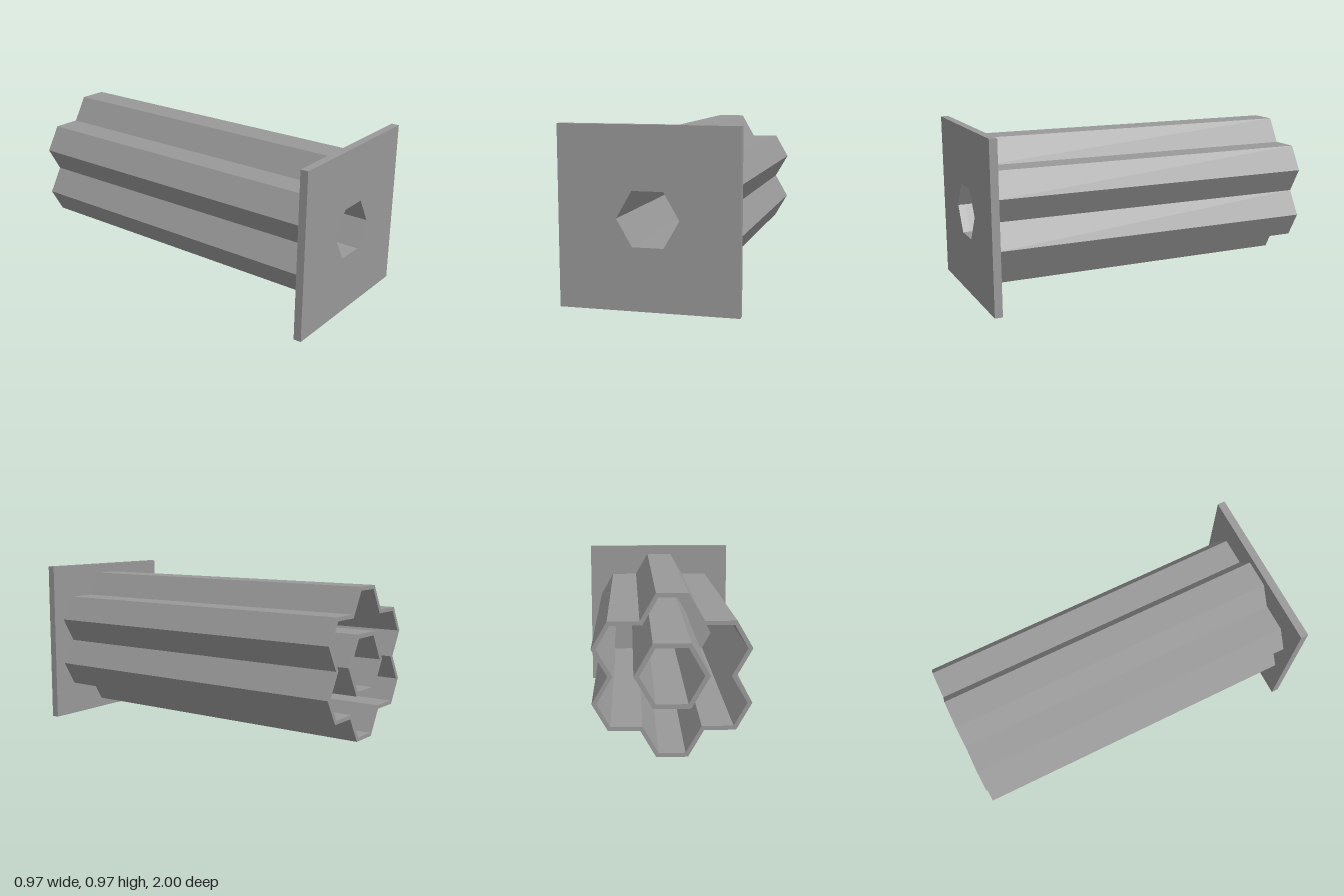
import * as THREE from 'three';

const CY = 0.484;          // height of the tube axis
const CELL = 0.1637;       // corner radius of one honeycomb cell
const WALL = 0.025;        // wall thickness measured at the corners
const BACK_Z = 0.955;      // back face of the plate

const polar = (r, deg) =>
  new THREE.Vector2(r, 0).rotateAround(new THREE.Vector2(), THREE.MathUtils.degToRad(deg));

// Regular hexagon with flat top and bottom
function hexagon(r) {
  return [0, 1, 2, 3, 4, 5].map((k) => polar(r, 60 * k));
}

// Outline of six cells around a central one, inset at the corners
function flower(inset) {
  const points = [];
  for (let k = 0; k < 6; k++) {
    const centre = polar(CELL * Math.sqrt(3), 60 * k + 30);
    points.push(polar(2 * CELL - inset, 60 * k));
    points.push(polar(CELL - inset, 60 * k).add(centre));
    points.push(polar(CELL - inset, 60 * k + 60).add(centre));
  }
  return points;
}

function extrude(outer, hole, depth) {
  const shape = new THREE.Shape(outer);
  shape.holes.push(new THREE.Path(hole));
  return new THREE.ExtrudeGeometry(shape, { depth, bevelEnabled: false });
}

export function createModel() {
  const model = new THREE.Group();
  const grey = new THREE.MeshStandardMaterial({ color: 0x999999 });
  grey.name = 'grey';

  const add = (name, geometry, parent) => {
    const mesh = new THREE.Mesh(geometry, grey);
    mesh.name = name;
    parent.add(mesh);
    return mesh;
  };

  // Square front plate with a hexagonal opening
  const w = 0.483;
  const square = [[-w, -w], [w, -w], [w, w], [-w, w]].map(([x, y]) => new THREE.Vector2(x, y));
  const plate = add('frontPlate', extrude(square, hexagon(0.168), 1 - BACK_Z), model);
  plate.position.set(0, CY, BACK_Z);

  // Tubes run backwards from the plate, turned very slightly sideways
  const tubes = new THREE.Group();
  tubes.name = 'tubes';
  tubes.position.set(0, CY, 0.96);
  tubes.rotation.y = -0.008;
  model.add(tubes);

  const length = 1.956;
  const shell = add('outerShell', extrude(flower(0), flower(WALL), length), tubes);
  const core = add('innerTube', extrude(hexagon(0.196), hexagon(0.168), length), tubes);
  shell.position.z = core.position.z = -length;

  return model;
}
